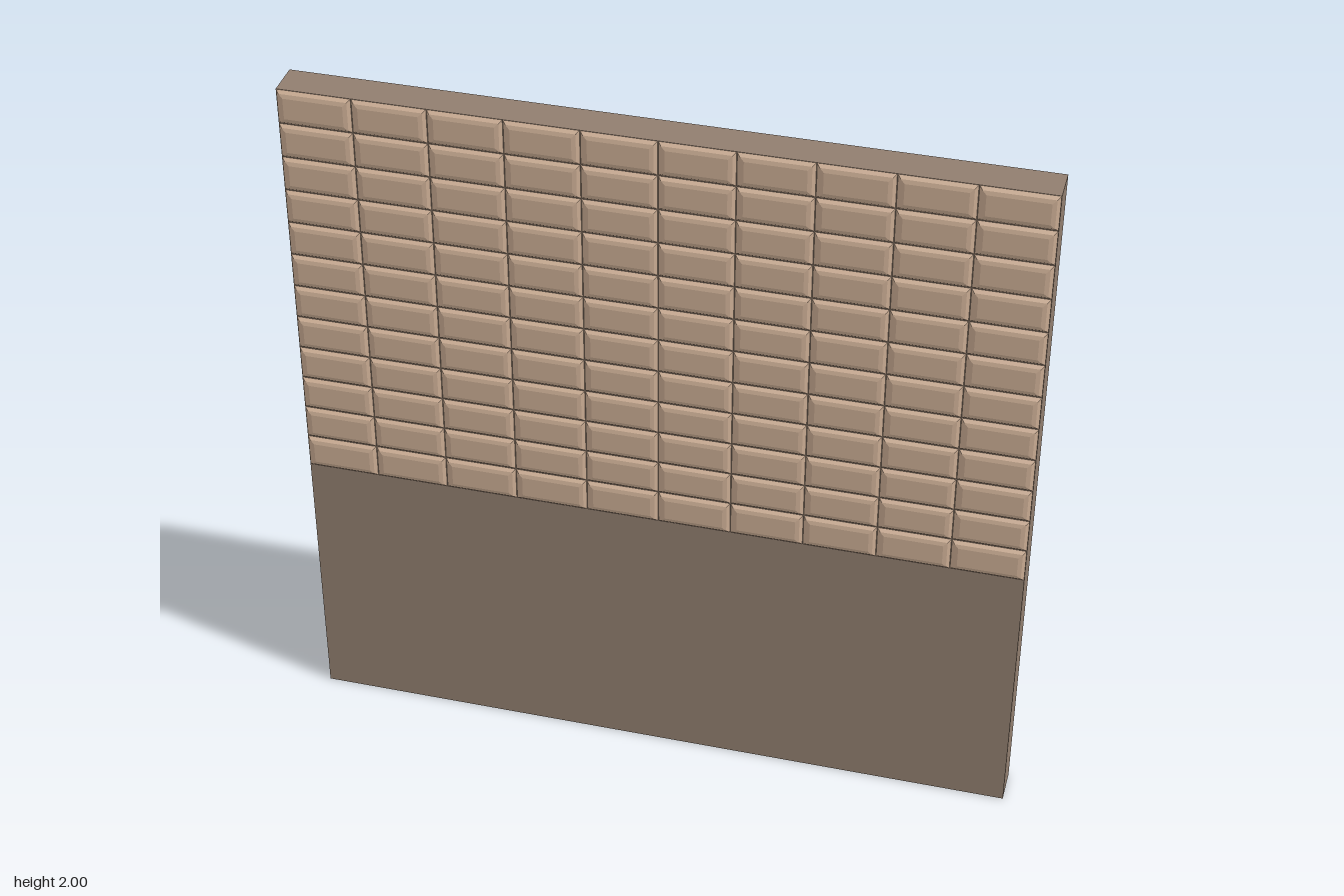
import * as THREE from 'three';

const TILE_W = 0.2, TILE_H = 0.1, COLUMNS = 10, ROWS = 12;
const WALL_DEPTH = 0.1, TILE_DEPTH = 0.011;
const BACK = -(WALL_DEPTH + TILE_DEPTH) / 2;

// Pillow-edged tile: rectangular rings that shrink towards the front, then a flat face
function tileGeometry() {
  const rings = [[0.001, 0], [0.009, 0.008], [0.02, TILE_DEPTH]]; // [inset, z]
  const positions = [], index = [];
  for (const [inset, z] of rings) {
    const x = TILE_W / 2 - inset, y = TILE_H / 2 - inset;
    positions.push(-x, -y, z, x, -y, z, x, y, z, -x, y, z);
  }
  for (let r = 0; r < rings.length - 1; r++) {
    for (let i = 0; i < 4; i++) {
      const a = r * 4 + i, b = r * 4 + (i + 1) % 4;
      index.push(a, b, b + 4, a, b + 4, a + 4);
    }
  }
  const f = (rings.length - 1) * 4;
  index.push(f, f + 1, f + 2, f, f + 2, f + 3);
  const indexed = new THREE.BufferGeometry();
  indexed.setAttribute('position', new THREE.Float32BufferAttribute(positions, 3));
  indexed.setIndex(index);
  const geometry = indexed.toNonIndexed();
  geometry.computeVertexNormals();
  return geometry;
}

export function createModel() {
  const group = new THREE.Group();
  group.name = 'tiledWall';

  // Plain wall slab
  const wall = new THREE.Mesh(
    new THREE.BoxGeometry(2, 2, WALL_DEPTH),
    new THREE.MeshStandardMaterial({ color: 0x917e6f })
  );
  wall.name = 'wall';
  wall.position.set(0, 1, BACK + WALL_DEPTH / 2);
  group.add(wall);

  // Tiles cover the front from y = 0.8 to the top
  const tiles = new THREE.Group();
  tiles.name = 'tiles';
  const geometry = tileGeometry();
  const material = new THREE.MeshStandardMaterial({ color: 0xcbad94 });
  for (let row = 0; row < ROWS; row++) {
    for (let col = 0; col < COLUMNS; col++) {
      const tile = new THREE.Mesh(geometry, material);
      tile.name = 'tile';
      tile.position.set(-1 + (col + 0.5) * TILE_W, 0.8 + (row + 0.5) * TILE_H, BACK + WALL_DEPTH);
      tiles.add(tile);
    }
  }
  group.add(tiles);
  return group;
}
